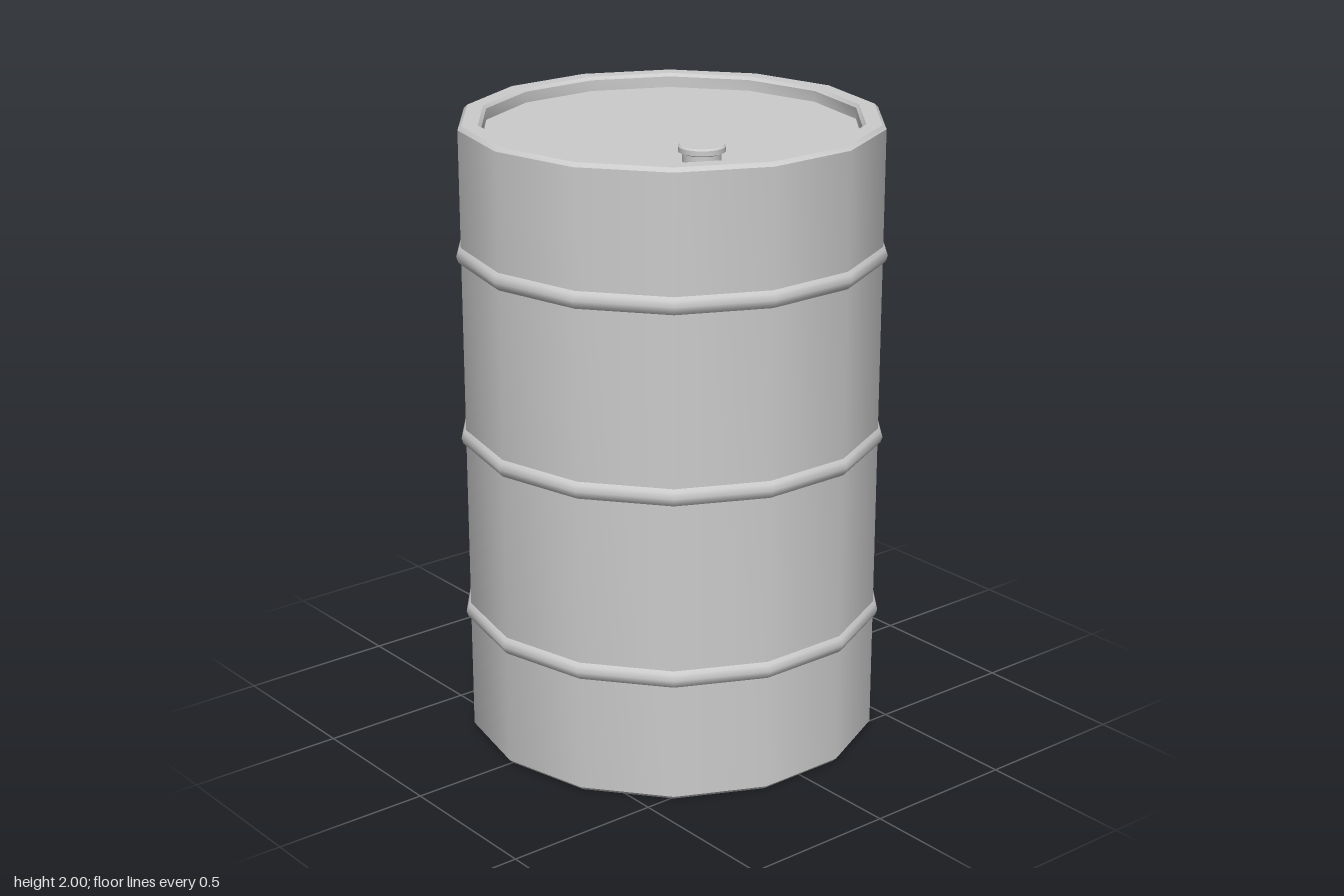
import * as THREE from 'three';
import { toCreasedNormals } from 'three/addons/utils/BufferGeometryUtils.js';

const SIDES = 14;
const material = new THREE.MeshStandardMaterial({ color: 0xcccccc });

// Turned part from [radius, y] points, with a corner on the x axis
function turned(name, points, crease = 0.6, sides = SIDES) {
  const profile = points.map(([r, y]) => new THREE.Vector2(r, y));
  const geometry = new THREE.LatheGeometry(profile, sides, Math.PI / 2);
  const mesh = new THREE.Mesh(toCreasedNormals(geometry, crease), material);
  mesh.name = name;
  return mesh;
}

export function createModel() {
  const drum = new THREE.Group();
  drum.name = 'drum';

  // Wall with rounded rims that turn in to the recessed ends
  drum.add(turned('shell', [
    [0.588, 0.05], [0.588, 0.01], [0.598, 0], [0.648, 0], [0.66, 0.012],
    [0.66, 1.983], [0.648, 1.995], [0.598, 1.995], [0.588, 1.985], [0.588, 1.95],
  ]));

  // Recessed end plates
  for (const [name, y, flip] of [['lid', 1.95, -1], ['base', 0.05, 1]]) {
    const plate = new THREE.Mesh(new THREE.CircleGeometry(0.588, SIDES), material);
    plate.name = name;
    plate.rotation.x = flip * Math.PI / 2;
    plate.position.y = y;
    drum.add(plate);
  }

  // Raised rolling hoops
  for (const y of [0.41, 1, 1.59]) {
    const hoop = turned('hoop', [
      [0.657, -0.03], [0.669, -0.018], [0.675, 0], [0.669, 0.018], [0.657, 0.03],
    ], 0.8);
    hoop.position.y = y;
    drum.add(hoop);
  }

  // Filler cap: narrow neck under a wider disc
  const cap = turned('fillerCap', [
    [0.058, 0], [0.058, 0.025], [0.07, 0.03], [0.07, 0.045], [0.065, 0.05], [0, 0.05],
  ], 0.6, 32);
  cap.position.set(-0.18, 1.95, 0.36);
  drum.add(cap);

  return drum;
}
